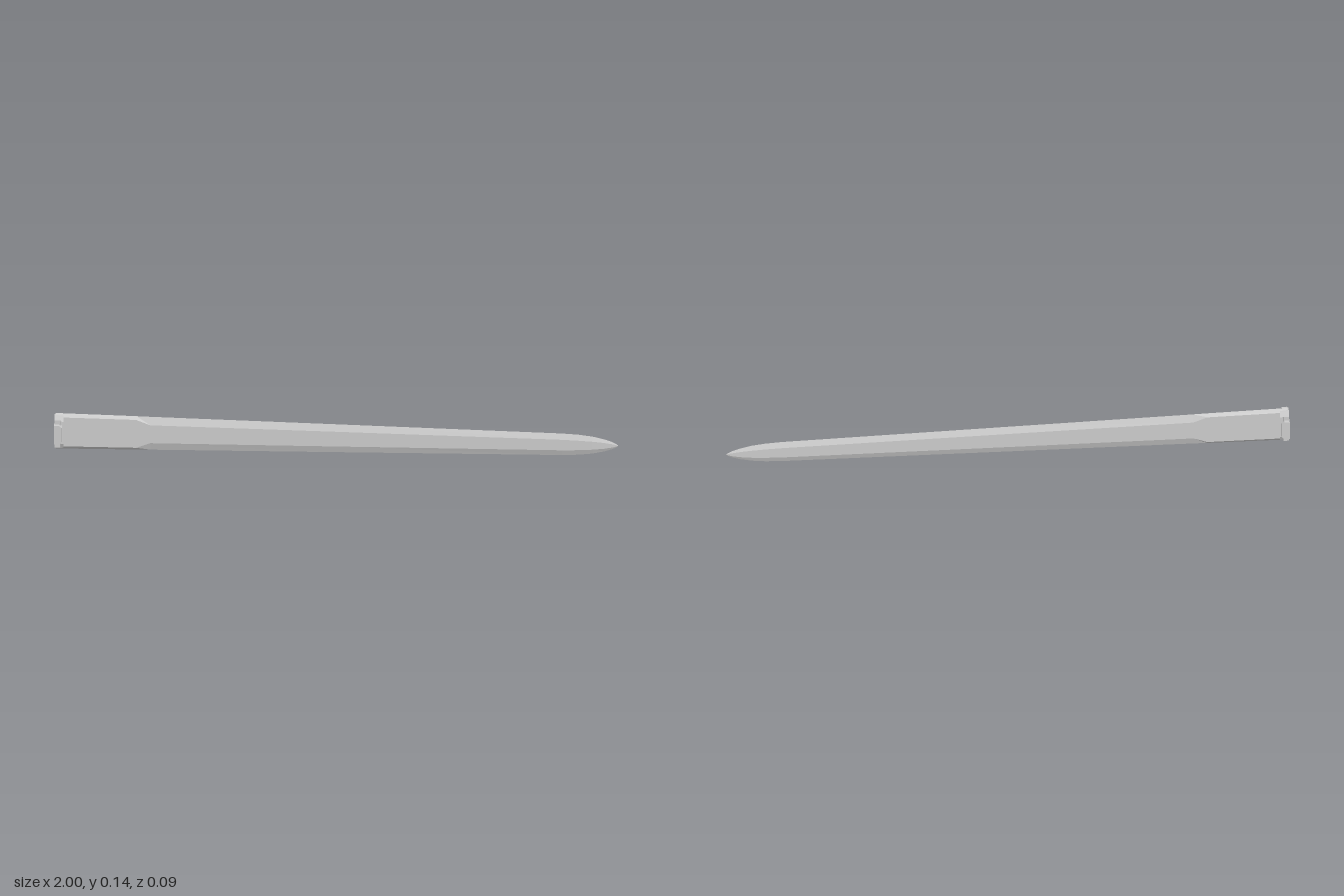
import * as THREE from 'three';

const MID = 0.0675; // height of the blade's long axis

// Joins cross-sections { x, pts: [[y, z], ...] } along x and caps both ends.
function loft(name, sections) {
  const pos = [];
  const rings = sections.map(({ x, pts }) => pts.map(([y, z]) => [x, y + MID, z]));
  const tri = (a, b, c) => pos.push(...a, ...b, ...c);
  const n = rings[0].length;
  for (let i = 0; i < rings.length - 1; i++) {
    for (let j = 0; j < n; j++) {
      const k = (j + 1) % n;
      tri(rings[i][j], rings[i][k], rings[i + 1][k]);
      tri(rings[i][j], rings[i + 1][k], rings[i + 1][j]);
    }
  }
  const first = rings[0], last = rings[rings.length - 1];
  for (let j = 1; j < n - 1; j++) {
    tri(first[0], first[j + 1], first[j]);
    tri(last[0], last[j], last[j + 1]);
  }
  const geo = new THREE.BufferGeometry();
  geo.setAttribute('position', new THREE.Float32BufferAttribute(pos, 3));
  geo.computeVertexNormals();
  const mesh = new THREE.Mesh(geo, new THREE.MeshStandardMaterial({ color: 0xcccccc, flatShading: true }));
  mesh.name = name;
  return mesh;
}

// Six-sided blade section: sharp edges at +-e, flats reaching +-f at half thickness t.
const bladeRing = (e, f, t) => [[e, 0], [f, t], [-f, t], [-e, 0], [-f, -t], [f, -t]];

// Rectangle h by w (half sizes) with corners cut by ch and cw.
const cutRing = (h, w, ch, cw) => [
  [h, -w + cw], [h, w - cw], [h - ch, w], [-h + ch, w],
  [-h, w - cw], [-h, -w + cw], [-h + ch, -w], [h - ch, -w],
];

const boxRing = (h, w) => [[h, -w], [h, w], [-h, w], [-h, -w]];

export function createModel() {
  const model = new THREE.Group();
  model.name = 'swordBlade';

  // Blade: broad flat near the base, then bevelled, then a rounded point
  const stations = [
    // x, edge, flat, half thickness
    [-0.995, 0.0675, 0.055, 0.01],
    [-0.71, 0.0635, 0.053, 0.01],
    [-0.66, 0.0625, 0.034, 0.01],
    [0, 0.053, 0.028, 0.009],
    [0.8, 0.041, 0.02, 0.008],
    [0.86, 0.038, 0.018, 0.0075],
    [0.91, 0.032, 0.015, 0.0065],
    [0.95, 0.023, 0.011, 0.005],
    [0.98, 0.013, 0.006, 0.003],
    [0.995, 0.005, 0.002, 0.0012],
    [1, 0.0005, 0.0003, 0.0002],
  ];
  model.add(loft('blade', stations.map(([x, e, f, t]) => ({ x, pts: bladeRing(e, f, t) }))));

  // Collar wrapped round the base of the blade
  model.add(loft('collar', [
    { x: -1, pts: cutRing(0.062, 0.02, 0.018, 0.009) },
    { x: -0.968, pts: cutRing(0.06, 0.019, 0.018, 0.009) },
  ]));

  // Stepped guard plate behind the collar
  model.add(loft('guardPlate', [
    { x: -0.998, pts: boxRing(0.051, 0.032) },
    { x: -0.978, pts: boxRing(0.051, 0.032) },
  ]));

  // Wide guard block with sloped upper and lower front edges
  model.add(loft('guardBlock', [
    { x: -1, pts: boxRing(0.036, 0.044) },
    { x: -0.982, pts: boxRing(0.036, 0.044) },
    { x: -0.972, pts: boxRing(0.027, 0.044) },
  ]));

  return model;
}
